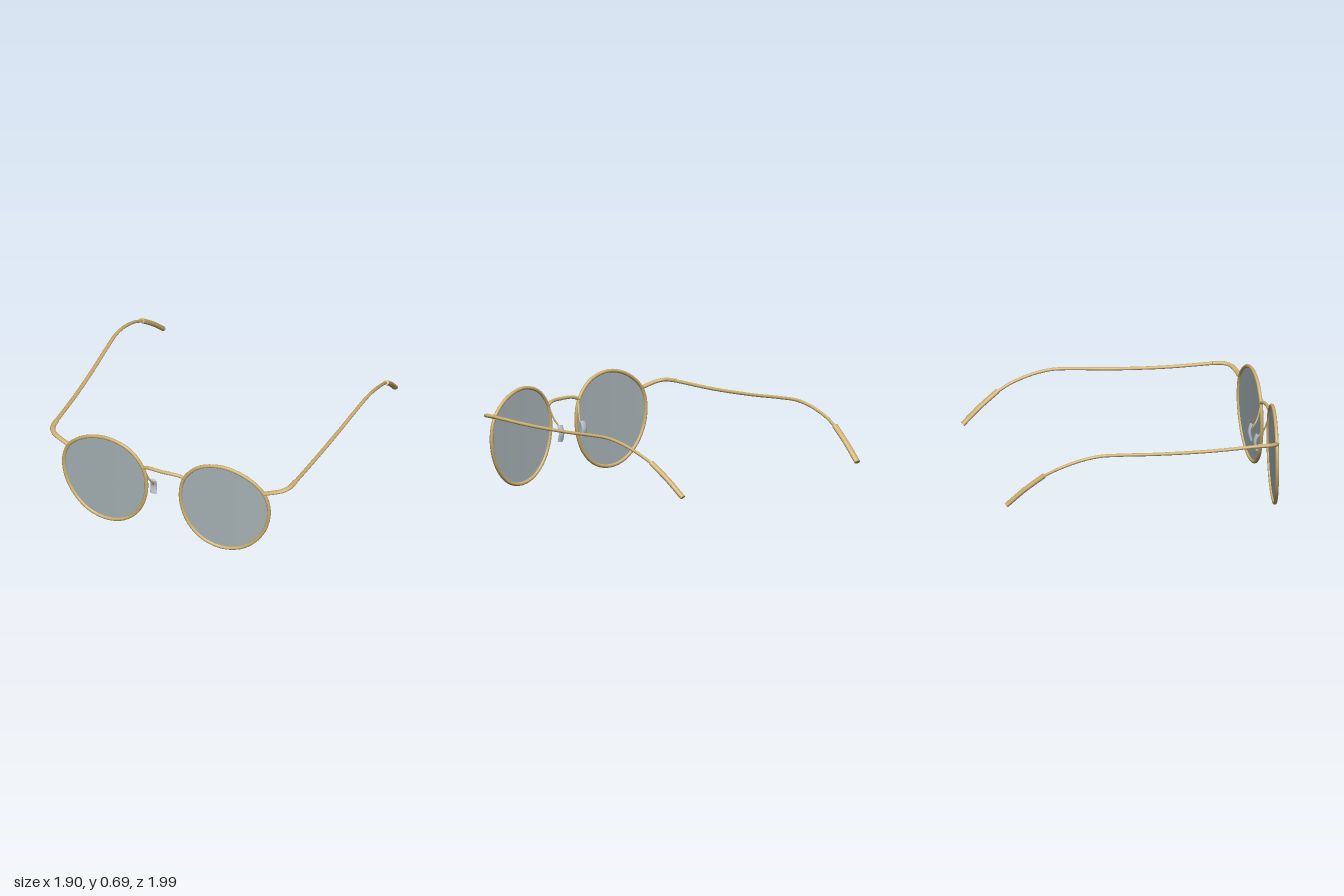
import * as THREE from 'three';

const V = (x, y, z) => new THREE.Vector3(x, y, z);
const smoothCurve = (pts) => new THREE.CatmullRomCurve3(pts, false, 'centripetal');

// Depth of the gently wrapped front frame at a distance x from the middle
function frontZ(x) {
  const t = (Math.abs(x) - 0.13) / 0.64;
  return 0.96 - 0.026 * t - 0.024 * t * t;
}

// Sweeps an ellipse (half width across, half height along `up`) on a curve, with flat caps
function sweep(curve, halfW, halfH, { steps = 40, sides = 16, up = V(0, 1, 0) } = {}) {
  const pos = [], idx = [];
  const size = (f, t) => (typeof f === 'function' ? f(t) : f);
  const ring = (t) => {
    const p = curve.getPointAt(t), d = curve.getTangentAt(t);
    const s = d.clone().cross(up).normalize(), n = s.clone().cross(d);
    for (let j = 0; j < sides; j++) {
      const a = (j / sides) * Math.PI * 2;
      const q = p.clone().addScaledVector(s, Math.cos(a) * size(halfW, t))
        .addScaledVector(n, Math.sin(a) * size(halfH, t));
      pos.push(q.x, q.y, q.z);
    }
    return p;
  };
  for (let i = 0; i <= steps; i++) ring(i / steps);
  for (let i = 0; i < steps; i++) {
    for (let j = 0; j < sides; j++) {
      const k = (j + 1) % sides;
      const a = i * sides + j, b = i * sides + k, c = b + sides, d = a + sides;
      idx.push(a, d, c, a, c, b);
    }
  }
  for (const t of [0, 1]) {
    const base = pos.length / 3;
    const p = ring(t);
    pos.push(p.x, p.y, p.z);
    for (let j = 0; j < sides; j++) {
      const a = base + j, b = base + ((j + 1) % sides), c = base + sides;
      if (t === 0) idx.push(c, a, b);
      else idx.push(c, b, a);
    }
  }
  const g = new THREE.BufferGeometry();
  g.setAttribute('position', new THREE.Float32BufferAttribute(pos, 3));
  g.setIndex(idx);
  g.computeVertexNormals();
  return g;
}

// Lens sheet: rings shrinking from the rim to the lens centre, following the wrap
function lensGeometry(rim, side) {
  const n = 72, rings = 8, pos = [], idx = [];
  const outline = rim.getSpacedPoints(n);
  for (let r = 0; r <= rings; r++) {
    for (let j = 0; j <= n; j++) {
      const k = r / rings;
      const x = side * 0.44 + (outline[j].x - side * 0.44) * k;
      const y = 0.36 + (outline[j].y - 0.36) * k;
      pos.push(x, y, frontZ(x));
      if (r < rings && j < n) {
        const a = r * (n + 1) + j, b = a + 1, c = b + n + 1, d = a + n + 1;
        // keep the face normals toward +z on both sides
        if (side > 0) idx.push(a, b, c, a, c, d);
        else idx.push(a, c, b, a, d, c);
      }
    }
  }
  const g = new THREE.BufferGeometry();
  g.setAttribute('position', new THREE.Float32BufferAttribute(pos, 3));
  g.setIndex(idx);
  g.computeVertexNormals();
  return g;
}

const RIM = [
  [0.40, 0.683], [0.53, 0.667], [0.645, 0.612], [0.735, 0.52], [0.768, 0.39],
  [0.745, 0.255], [0.68, 0.14], [0.575, 0.052], [0.44, 0.02], [0.308, 0.052],
  [0.205, 0.14], [0.143, 0.27], [0.128, 0.41], [0.158, 0.53], [0.255, 0.638],
];

export function createModel() {
  const model = new THREE.Group();
  model.name = 'glasses';

  const gold = new THREE.MeshStandardMaterial({ color: 0xcbad6d });
  gold.name = 'gold metal';
  const glass = new THREE.MeshStandardMaterial({ color: 0xa6b1b4, side: THREE.DoubleSide });
  glass.name = 'grey lens';
  const silicone = new THREE.MeshStandardMaterial({ color: 0xb9c2c9 });
  silicone.name = 'pale nose pad';

  const add = (name, geometry, material) => {
    const mesh = new THREE.Mesh(geometry, material);
    mesh.name = name;
    model.add(mesh);
  };

  // Bridge
  add('bridge', sweep(smoothCurve([
    V(-0.155, 0.522, 0.957), V(-0.125, 0.538, 0.965), V(-0.085, 0.546, 0.974), V(0, 0.547, 0.98),
    V(0.085, 0.546, 0.974), V(0.125, 0.538, 0.965), V(0.155, 0.522, 0.957),
  ]), 0.012, 0.012), gold);

  for (const [side, label] of [[1, 'left'], [-1, 'right']]) {
    const path = (pts) => smoothCurve(pts.map(([x, y, z]) => V(side * x, y, z)));

    // Rim and lens
    const rim = new THREE.CatmullRomCurve3(
      RIM.map(([x, y]) => V(side * x, y, frontZ(x))), true, 'centripetal');
    add(label + 'Rim', new THREE.TubeGeometry(rim, 96, 0.0125, 12, true), gold);
    add(label + 'Lens', lensGeometry(rim, side), glass);

    // End piece wrapping from the rim to the hinge
    add(label + 'EndPiece', sweep(path([
      [0.735, 0.53, 0.912], [0.79, 0.546, 0.9], [0.85, 0.563, 0.878],
      [0.885, 0.573, 0.835], [0.895, 0.576, 0.75],
    ]), 0.018, 0.013), gold);

    // Temple arm
    add(label + 'Temple', sweep(path([
      [0.895, 0.575, 0.77], [0.905, 0.563, 0.4], [0.919, 0.568, 0.05], [0.931, 0.58, -0.2],
      [0.937, 0.582, -0.35], [0.936, 0.562, -0.47], [0.932, 0.535, -0.56],
      [0.925, 0.5, -0.65], [0.908, 0.447, -0.75],
    ]), (t) => 0.0145 - 0.004 * t * t, (t) => 0.0115 - 0.001 * t, { steps: 60 }), gold);

    // Ear tip
    add(label + 'EarTip', sweep(path([
      [0.913, 0.458, -0.735], [0.89, 0.357, -0.865], [0.868, 0.245, -0.988],
    ]), 0.0225, 0.017, { steps: 16 }), gold);

    // Nose pad and its wire
    add(label + 'PadWire', sweep(path([
      [0.145, 0.5, 0.953], [0.125, 0.43, 0.932], [0.108, 0.385, 0.905], [0.11, 0.345, 0.875],
    ]), 0.006, 0.006, { steps: 24, sides: 8, up: V(0, 0, 1) }), gold);
    add(label + 'NosePad', sweep(path([
      [0.112, 0.388, 0.886], [0.112, 0.362, 0.876], [0.112, 0.33, 0.871], [0.112, 0.278, 0.882],
    ]), 0.024, 0.012, { steps: 16, up: V(0, 0, 1) }), silicone);
  }
  return model;
}
